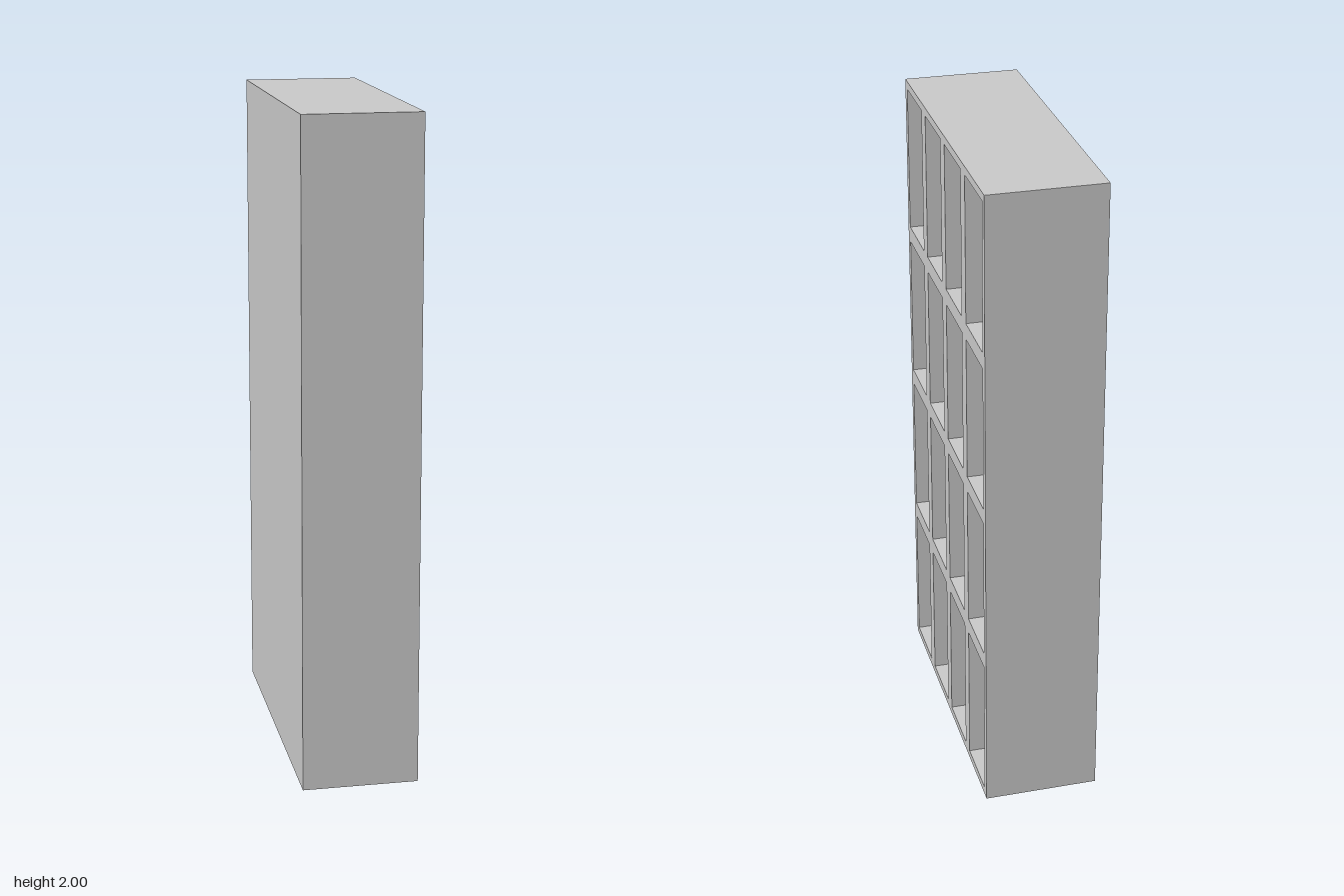
import * as THREE from 'three';

const WIDTH = 0.97, HEIGHT = 2, DEPTH = 0.35;
const COLS = 4, ROWS = 4;
const WALL = 0.025; // outer wall and back thickness; dividers are twice this

// Closed rectangular outline, used for the frame and its openings
function rectangle(PathType, x, y, w, h) {
  const path = new PathType();
  path.moveTo(x, y);
  path.lineTo(x + w, y);
  path.lineTo(x + w, y + h);
  path.lineTo(x, y + h);
  path.closePath();
  return path;
}

export function createModel() {
  const model = new THREE.Group();
  model.name = 'pigeonholeShelf';
  const material = new THREE.MeshStandardMaterial({ color: 0xcccccc, flatShading: true });

  // Shelf grid: one slab pierced by a hole for each compartment, open towards +x
  const outline = rectangle(THREE.Shape, -WIDTH / 2, 0, WIDTH, HEIGHT);
  const cellW = WIDTH / COLS, cellH = HEIGHT / ROWS;
  for (let row = 0; row < ROWS; row++) {
    for (let col = 0; col < COLS; col++) {
      outline.holes.push(rectangle(
        THREE.Path,
        -WIDTH / 2 + col * cellW + WALL, row * cellH + WALL,
        cellW - 2 * WALL, cellH - 2 * WALL
      ));
    }
  }
  const gridGeometry = new THREE.ExtrudeGeometry(outline, { depth: DEPTH - WALL, bevelEnabled: false });
  gridGeometry.rotateY(Math.PI / 2);
  const grid = new THREE.Mesh(gridGeometry, material);
  grid.name = 'shelfGrid';
  grid.position.x = -DEPTH / 2 + WALL;
  model.add(grid);

  // Back panel closing the compartments on the -x side
  const back = new THREE.Mesh(new THREE.BoxGeometry(WALL, HEIGHT, WIDTH), material);
  back.name = 'backPanel';
  back.position.set(-DEPTH / 2 + WALL / 2, HEIGHT / 2, 0);
  model.add(back);

  return model;
}
